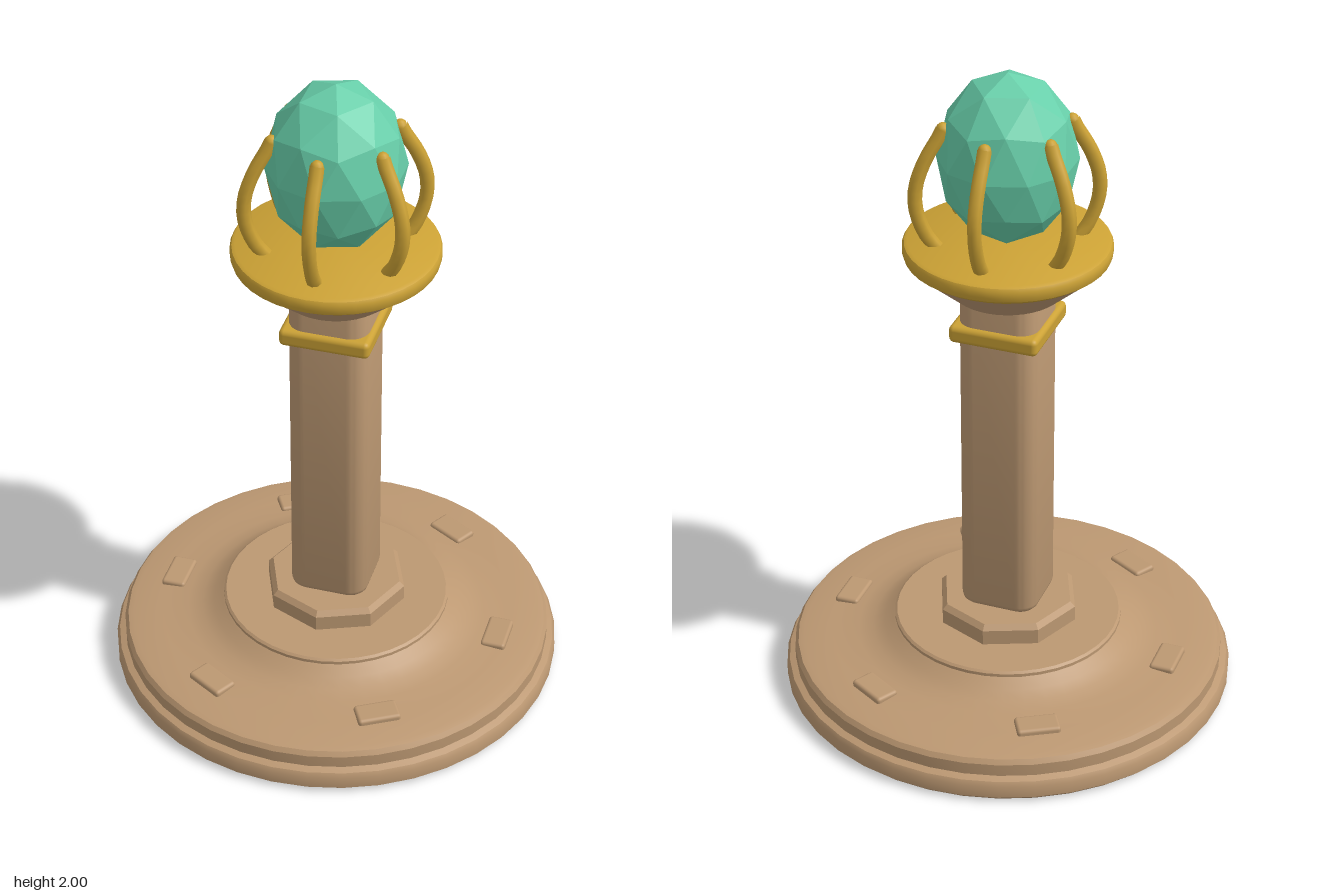
import * as THREE from 'three';
import { toCreasedNormals } from 'three/addons/utils/BufferGeometryUtils.js';
import { RoundedBoxGeometry } from 'three/addons/geometries/RoundedBoxGeometry.js';

const stone = new THREE.MeshStandardMaterial({ color: 0xbc9872 });
stone.name = 'sandstone';
const gold = new THREE.MeshStandardMaterial({ color: 0xcca235 });
gold.name = 'gold';
const jade = new THREE.MeshStandardMaterial({ color: 0x68cfaa, flatShading: true });
jade.name = 'green crystal';

export function createModel() {
  const model = new THREE.Group();
  model.name = 'crystalPedestal';

  const add = (name, geometry, material, x = 0, y = 0, z = 0) => {
    const mesh = new THREE.Mesh(geometry, material);
    mesh.name = name;
    mesh.position.set(x, y, z);
    model.add(mesh);
    return mesh;
  };
  // Turned part from [radius, height] pairs, listed bottom to top
  const turned = (profile, sides, crease = 0.6) => toCreasedNormals(
    new THREE.LatheGeometry(profile.map(([r, y]) => new THREE.Vector2(r, y)), sides), crease);

  // Stepped round base with a swept rise to the upper step
  add('base', turned([
    [0, 0], [0.67, 0], [0.685, 0.015], [0.685, 0.052], [0.677, 0.066], [0.658, 0.074],
    [0.658, 0.112], [0.648, 0.126], [0.63, 0.131], [0.54, 0.139], [0.46, 0.146],
    [0.415, 0.156], [0.38, 0.174], [0.355, 0.193], [0.348, 0.198], [0.348, 0.208],
    [0.341, 0.214], [0, 0.214],
  ], 40), stone);

  // Ring of six raised blocks on the base
  for (let i = 0; i < 6; i++) {
    const a = i * Math.PI / 3;
    const block = add('baseBlock', new RoundedBoxGeometry(0.076, 0.04, 0.13, 2, 0.01), stone,
      Math.cos(a) * 0.516, 0.135, Math.sin(a) * 0.516);
    block.rotation.y = -a;
  }

  // Eight-sided foot under the column
  add('foot', turned([
    [0, 0.2], [0.218, 0.2], [0.218, 0.262], [0.203, 0.278], [0, 0.278],
  ], 8, 0.5), stone);

  // Square column with rounded corners and bevelled ends
  const bevel = 0.022, half = 0.12 - bevel, round = 0.035;
  const section = new THREE.Shape();
  [[1, 1, 0], [-1, 1, 1], [-1, -1, 2], [1, -1, 3]].forEach(([sx, sy, q]) => {
    section.absarc(sx * (half - round), sy * (half - round), round,
      q * Math.PI / 2, (q + 1) * Math.PI / 2, false);
  });
  const columnGeometry = new THREE.ExtrudeGeometry(section, {
    depth: 1.07 - 2 * bevel, bevelEnabled: true, bevelSize: bevel, bevelThickness: bevel,
    bevelSegments: 3, curveSegments: 5,
  });
  columnGeometry.rotateX(-Math.PI / 2);
  add('column', toCreasedNormals(columnGeometry, 0.7), stone, 0, 0.276 + bevel, 0);

  // Gold collar around the column
  add('collar', new RoundedBoxGeometry(0.27, 0.054, 0.27, 3, 0.016), gold, 0, 1.217, 0);

  // Flared capital and the gold dish on it
  add('capital', turned([[0, 1.328], [0.165, 1.328], [0.283, 1.432], [0, 1.432]], 40), stone);
  add('dish', turned([
    [0, 1.428], [0.279, 1.428], [0.298, 1.442], [0.302, 1.455], [0.302, 1.474],
    [0.297, 1.483], [0.287, 1.488], [0, 1.488],
  ], 40), gold);

  // Six curved claws holding the crystal
  const clawPath = new THREE.CatmullRomCurve3([
    [0.2, 1.47], [0.235, 1.52], [0.262, 1.6], [0.262, 1.67], [0.235, 1.75], [0.195, 1.82], [0.183, 1.845],
  ].map(([r, y]) => new THREE.Vector3(0, y, r)));
  const clawGeometry = new THREE.TubeGeometry(clawPath, 14, 0.021, 8, false);
  const tip = new THREE.SphereGeometry(0.02, 8, 6);
  for (let i = 0; i < 6; i++) {
    const a = i * Math.PI / 3;
    add('claw', clawGeometry, gold).rotation.y = a;
    add('clawTip', tip, gold, Math.sin(a) * 0.183, 1.843, Math.cos(a) * 0.183);
  }

  // Faceted egg-shaped crystal, one corner pointing straight up
  const crystal = new THREE.IcosahedronGeometry(1, 1);
  crystal.rotateZ(-Math.atan(2 / (1 + Math.sqrt(5))));
  crystal.scale(0.202, 0.256, 0.202);
  crystal.computeVertexNormals();
  add('crystal', crystal, jade, 0, 1.744, 0);

  return model;
}
